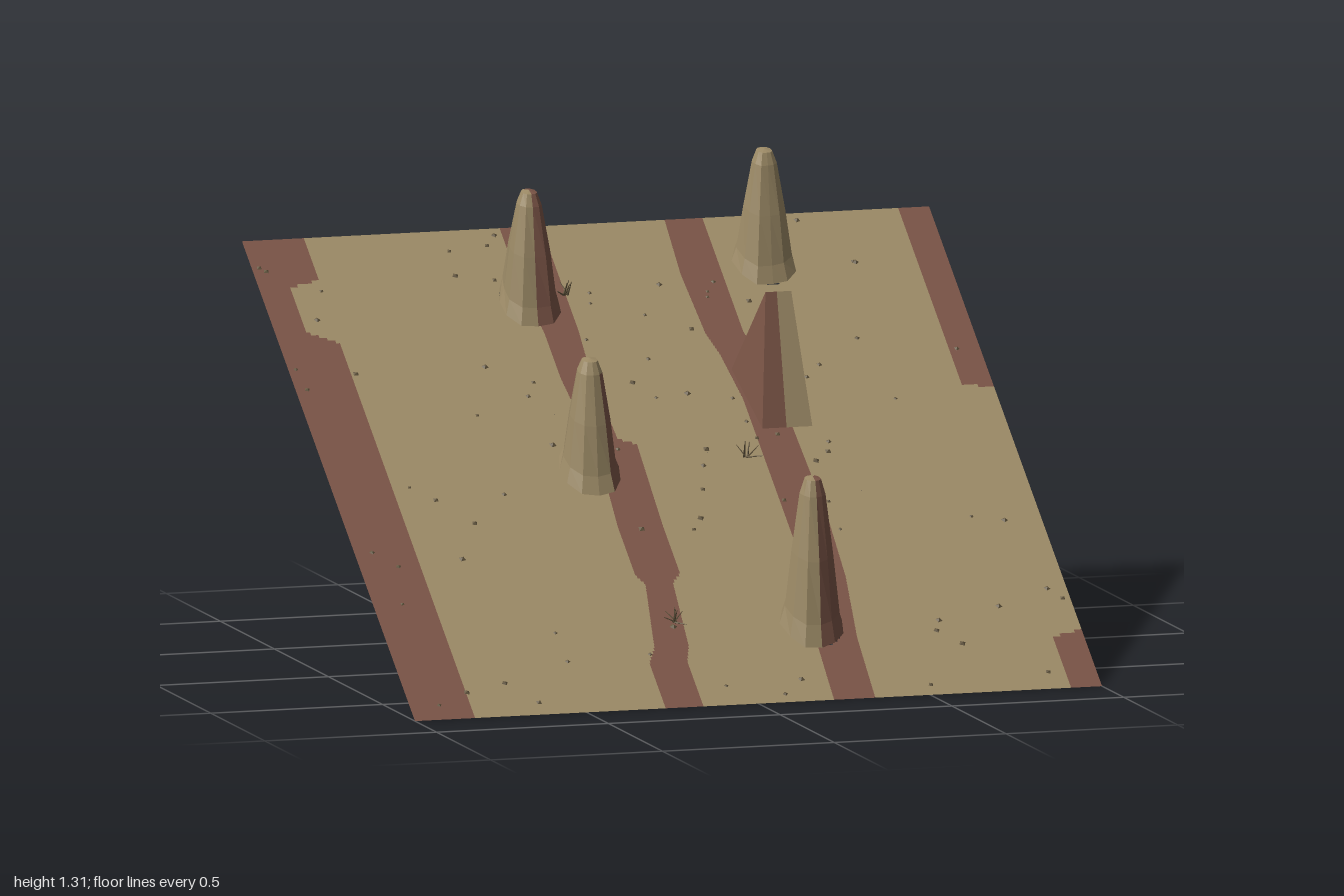
import * as THREE from 'three';
import { mergeGeometries } from 'three/addons/utils/BufferGeometryUtils.js';

const material = (name, color) => {
  const m = new THREE.MeshStandardMaterial({ color, side: THREE.DoubleSide, flatShading: true });
  m.name = name;
  return m;
};

// Height of the slope at z
const slopeY = z => 0.55 - 0.6875 * z;

// Clay bands: rows of [z, left edge, right edge]
const bands = [
  [[-0.8, -1, -0.82], [-0.66, -1, -0.82], [-0.64, -1, -0.91], [-0.49, -1, -0.91], [-0.45, -1, -0.825], [0.8, -1, -0.825]],
  [[-0.8, -0.25, -0.13], [-0.6, -0.25, -0.13], [-0.45, -0.23, -0.13], [-0.3, -0.23, -0.14], [-0.09, -0.21, -0.13],
    [-0.07, -0.2, -0.08], [0.2, -0.22, -0.09], [0.36, -0.22, -0.09], [0.39, -0.2, -0.12], [0.6, -0.24, -0.14],
    [0.65, -0.27, -0.16], [0.8, -0.27, -0.16]],
  [[-0.8, 0.23, 0.34], [-0.62, 0.22, 0.34], [-0.42, 0.23, 0.34], [-0.35, 0.25, 0.36], [-0.2, 0.27, 0.38],
    [0.2, 0.27, 0.39], [0.4, 0.27, 0.38], [0.6, 0.23, 0.35], [0.8, 0.22, 0.34]],
  [[-0.8, 0.91, 1], [-0.21, 0.91, 1], [-0.2, 1, 1], [0.61, 1, 1], [0.63, 0.91, 1], [0.8, 0.91, 1]],
];
function bandAt(band, z) {
  let i = 0;
  while (i < band.length - 2 && z > band[i + 1][0]) i++;
  const [a, b] = [band[i], band[i + 1]];
  const t = THREE.MathUtils.clamp((z - a[0]) / (b[0] - a[0]), 0, 1);
  return [a[1] + (b[1] - a[1]) * t, a[2] + (b[2] - a[2]) * t];
}
const isClay = (x, z) => bands.some(b => {
  const [l, r] = bandAt(b, z);
  return x > l && x < r;
});

// Rock spires: centre x, centre z, top height
const spires = [[-0.24, 0, 0.86], [0.24, 0.54, 0.587], [-0.24, -0.56, 1.245], [0.475, -0.655, 1.312]];
const wedge = { back: -0.3, front: -0.1, mid: -0.2, top: 0.985 };

function seeded(seed) {
  return () => {
    seed = (seed * 16807) % 2147483647;
    return seed / 2147483647;
  };
}

// Collects triangles in two colours and makes one grouped mesh
function twoTone(name, mats, fill) {
  const sets = [[], []];
  const tri = (a, b, c, clay) => {
    const k = clay ?? isClay((a[0] + b[0] + c[0]) / 3, (a[2] + b[2] + c[2]) / 3);
    sets[k ? 1 : 0].push(...a, ...b, ...c);
  };
  const quad = (a, b, c, d, clay) => {
    const k = clay ?? isClay((a[0] + b[0] + c[0] + d[0]) / 4, (a[2] + b[2] + c[2] + d[2]) / 4);
    tri(a, b, c, k);
    tri(a, c, d, k);
  };
  fill(tri, quad);
  const geo = new THREE.BufferGeometry();
  geo.setAttribute('position', new THREE.Float32BufferAttribute([...sets[0], ...sets[1]], 3));
  geo.addGroup(0, sets[0].length / 3, 0);
  geo.addGroup(sets[0].length / 3, sets[1].length / 3, 1);
  geo.computeVertexNormals();
  const mesh = new THREE.Mesh(geo, mats);
  mesh.name = name;
  return mesh;
}

// Hillside in thin rows, cut at the bands and left open below the rocks
function hillside(mats) {
  return twoTone('hillside', mats, (tri, quad) => {
    const rows = 160;
    for (let i = 0; i < rows; i++) {
      const z0 = -0.8 + i * 0.01, z1 = z0 + 0.01, z = z0 + 0.005;
      const holes = [];
      for (const [cx, cz] of spires) {
        const h = 0.082 ** 2 - (z - cz) ** 2;
        if (h > 0) holes.push([cx - Math.sqrt(h), cx + Math.sqrt(h)]);
      }
      if (z > wedge.back && z < wedge.front) {
        const t = (z - wedge.back) / 0.2;
        holes.push([0.275 + 0.03 * t, 0.435]);
      }
      const cuts = [-1, 1, ...holes.flat(), ...bands.flatMap(b => bandAt(b, z))].sort((a, b) => a - b);
      for (let j = 0; j < cuts.length - 1; j++) {
        const a = cuts[j], b = cuts[j + 1], m = (a + b) / 2;
        if (b - a < 1e-5 || holes.some(h => m > h[0] && m < h[1])) continue;
        quad([a, slopeY(z0), z0], [a, slopeY(z1), z1], [b, slopeY(z1), z1], [b, slopeY(z0), z0], isClay(m, z));
      }
    }
  });
}

// Hollow tapering rock whose foot follows the slope
function spire([cx, cz, top], index, mats) {
  const rand = seeded(71 + index * 137), sides = 12;
  const levels = [[0, 0.092], [0.12, 0.079], [0.5, 0.061], [0.9, 0.037], [1, 0.024]];
  const flutes = Array.from({ length: sides }, () => 0.9 + rand() * 0.18);
  const rings = levels.map(([t, r]) => flutes.map((f, i) => {
    const a = i / sides * Math.PI * 2;
    const k = r * f * (0.97 + rand() * 0.06);
    const x = cx + Math.cos(a) * k, z = cz + Math.sin(a) * k;
    const y = THREE.MathUtils.lerp(slopeY(z), top - 0.2 * (z - cz + 0.024), t);
    return [x, y, z];
  }));
  return twoTone('rockSpire', mats, (tri, quad) => {
    for (let l = 0; l < rings.length - 1; l++) {
      for (let i = 0; i < sides; i++) {
        const j = (i + 1) % sides;
        quad(rings[l][i], rings[l + 1][i], rings[l + 1][j], rings[l][j]);
      }
    }
    const last = rings[rings.length - 1];
    for (let i = 0; i < sides; i++) tri([cx, top, cz], last[(i + 1) % sides], last[i]);
  });
}

// Tent-shaped rock with a short level ridge
function tentRock(mats) {
  const { back, front, mid, top } = wedge;
  const row = (xs, y, z) => xs.map(x => [x, y, z]);
  const f = row([0.295, 0.365, 0.44], slopeY(front), front);
  const r = row([0.335, 0.368, 0.41], top, mid);
  const b = row([0.268, 0.355, 0.44], slopeY(back), back);
  return twoTone('tentRock', mats, (tri, quad) => {
    for (const i of [0, 1]) {
      quad(f[i], f[i + 1], r[i + 1], r[i], i === 0);
      quad(b[i + 1], b[i], r[i], r[i + 1], i === 0);
    }
    tri(b[0], f[0], r[0], true);
    tri(f[2], b[2], r[2], false);
  });
}

// Tiny stones scattered over the slope
function pebbles(mat) {
  const rand = seeded(4242), parts = [];
  for (let i = 0; i < 95; i++) {
    const x = -0.98 + rand() * 1.96, z = -0.78 + rand() * 1.56, s = 0.006 + rand() * 0.005;
    const g = new THREE.OctahedronGeometry(s);
    g.scale(1, 0.6, 1);
    g.rotateY(rand() * 3);
    g.rotateX(Math.atan(0.6875));
    g.translate(x, slopeY(z) + 0.002, z);
    parts.push(g);
  }
  const mesh = new THREE.Mesh(mergeGeometries(parts), mat);
  mesh.name = 'pebbles';
  return mesh;
}

// Small dry shrub of crooked twigs
function shrub(x, z, seed, mat) {
  const rand = seeded(seed), parts = [];
  for (let i = 0; i < 7; i++) {
    const g = new THREE.CylinderGeometry(0.001, 0.003, 0.045, 4);
    g.translate(0, 0.0225, 0);
    g.rotateZ((rand() - 0.5) * 2.2);
    g.rotateY(rand() * 6.28);
    g.translate((rand() - 0.5) * 0.02, 0, 0);
    parts.push(g);
  }
  const mesh = new THREE.Mesh(mergeGeometries(parts), mat);
  mesh.name = 'dryShrub';
  mesh.rotation.x = Math.atan(0.6875);
  mesh.position.set(x, slopeY(z), z);
  return mesh;
}

export function createModel() {
  const sand = material('sand', 0x9c8a66);
  const clay = material('clay', 0x7a5446);
  const dark = material('dark stone', 0x655840);
  const mats = [sand, clay];
  const group = new THREE.Group();
  group.name = 'rockySlope';
  group.add(hillside(mats), tentRock(mats), pebbles(dark));
  spires.forEach((s, i) => group.add(spire(s, i, mats)));
  [[-0.13, -0.57], [0.22, -0.01], [-0.15, 0.52]].forEach(([x, z], i) => group.add(shrub(x, z, 33 + i * 50, dark)));
  return group;
}
